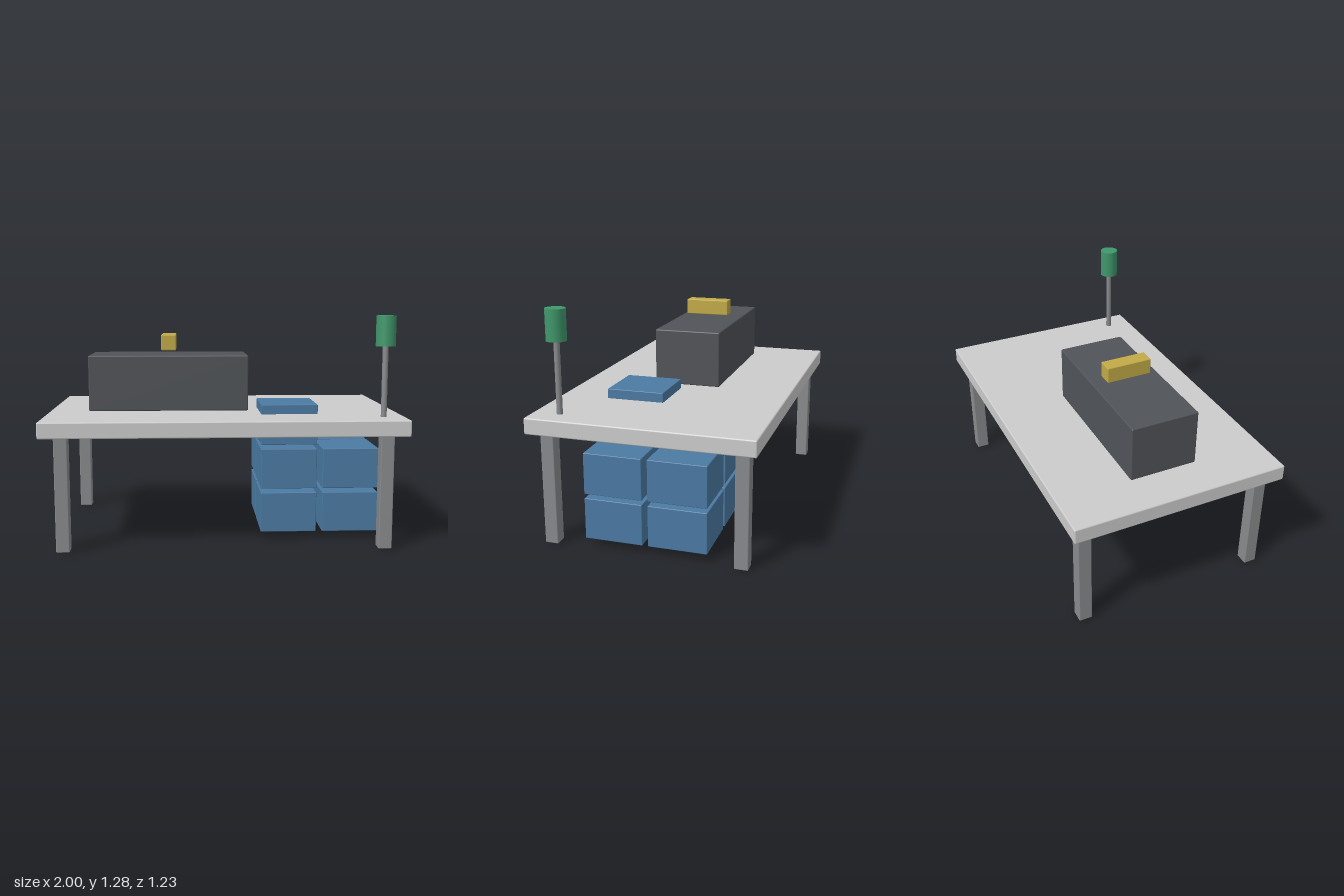
import * as THREE from 'three';
import { RoundedBoxGeometry } from 'three/addons/geometries/RoundedBoxGeometry.js';

const paint = (color) => new THREE.MeshStandardMaterial({ color });

export function createModel() {
  const model = new THREE.Group();
  const top = paint(0xcccccc);
  const steel = paint(0x888a8d);
  const charcoal = paint(0x505358);
  const yellow = paint(0xc2aa45);
  const blue = paint(0x4b7aa3);
  const green = paint(0x3f976b);

  // Softly bevelled box, placed by its centre
  function box(name, material, size, position, bevel = 0.006, parent = model) {
    const mesh = new THREE.Mesh(new RoundedBoxGeometry(...size, 2, bevel), material);
    mesh.name = name;
    mesh.position.set(...position);
    parent.add(mesh);
  }

  // Table
  box('tableTop', top, [2, 0.09, 1.225], [0, 0.68, 0], 0.008);
  for (const x of [-1, 1]) {
    for (const z of [-1, 1]) {
      const name = (z > 0 ? 'front' : 'back') + (x > 0 ? 'Left' : 'Right') + 'Leg';
      box(name, steel, [0.075, 0.64, 0.075], [x * 0.885, 0.32, z * 0.525]);
    }
  }

  // Long case on the table, with the bar hovering just above it
  box('case', charcoal, [0.92, 0.32, 0.385], [-0.31, 0.888, 0], 0.007);
  box('bar', yellow, [0.086, 0.09, 0.258], [-0.31, 1.119, 0], 0.005);

  // Stacked crates: two full layers of four, and one crate rising through the table
  const crates = new THREE.Group();
  crates.name = 'crates';
  model.add(crates);
  for (let i = 0; i < 9; i++) {
    const layer = Math.floor(i / 4);
    const column = i % 2;
    const row = Math.floor(i / 2) % 2;
    box('crate' + (i + 1), blue, [0.32, 0.23, 0.323],
      [0.374 + column * 0.354, 0.156 + layer * 0.254, 0.178 - row * 0.354], 0.004, crates);
  }

  // Lamp
  const lamp = new THREE.Group();
  lamp.name = 'lamp';
  lamp.position.set(0.88, 0, 0.463);
  model.add(lamp);
  const pole = new THREE.Mesh(new THREE.CylinderGeometry(0.016, 0.016, 0.46, 32), steel);
  pole.name = 'lampPole';
  pole.position.y = 0.95;
  const shade = new THREE.Mesh(new THREE.CylinderGeometry(0.054, 0.054, 0.167, 48), green);
  shade.name = 'lampShade';
  shade.position.y = 1.197;
  lamp.add(pole, shade);

  return model;
}
